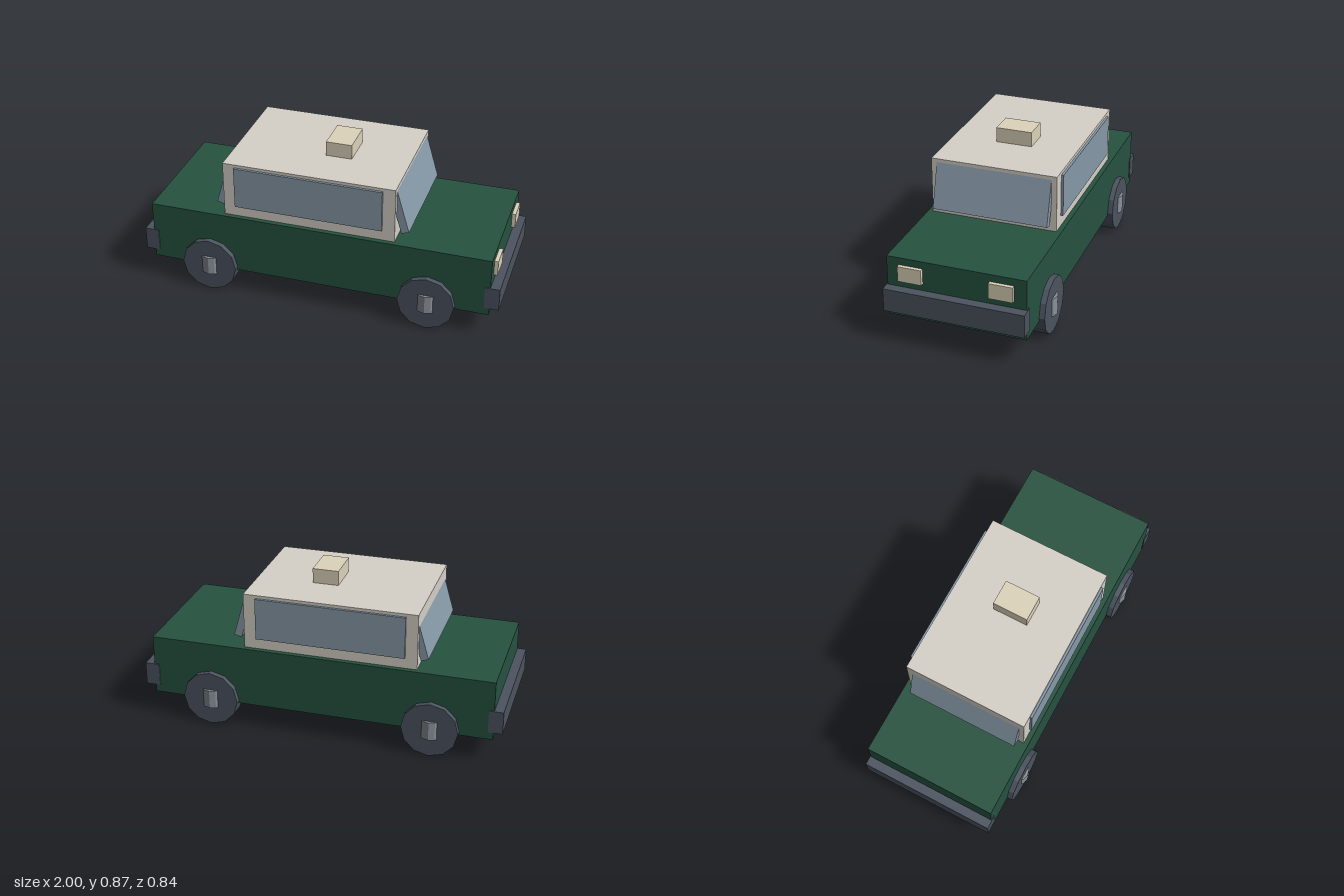
import * as THREE from 'three';

const paint = (color) => new THREE.MeshStandardMaterial({ color, flatShading: true });

export function createModel() {
  const car = new THREE.Group();
  car.name = 'taxi';

  const green = paint(0x265240);
  const cream = paint(0xd6d1c8);
  const glass = paint(0x8799a8);
  const rubber = paint(0x4c5460);
  const metal = paint(0x8a9199);
  const lamp = paint(0xddd4bb);

  function add(name, geometry, material, x, y, z) {
    const mesh = new THREE.Mesh(geometry, material);
    mesh.name = name;
    mesh.position.set(x, y, z);
    car.add(mesh);
    return mesh;
  }
  // Box given by its x and y limits, its depth in z and its centre z
  const box = (name, material, x0, x1, y0, y1, depth, z = 0) =>
    add(name, new THREE.BoxGeometry(x1 - x0, y1 - y0, depth), material, (x0 + x1) / 2, (y0 + y1) / 2, z);

  // Body, cabin and roof sign
  box('body', green, -0.95, 0.948, 0.136, 0.473, 0.747);
  box('cabin', cream, -0.53, 0.422, 0.473, 0.785, 0.694);
  box('roofSign', lamp, -0.032, 0.112, 0.785, 0.867, 0.2);

  // Bumpers
  box('frontBumper', rubber, 0.92, 1, 0.18, 0.308, 0.757);
  box('rearBumper', rubber, -1, -0.922, 0.18, 0.308, 0.757);

  // Leaning windscreens
  const screen = new THREE.BoxGeometry(0.043, 0.257, 0.634);
  add('windscreen', screen, glass, 0.435, 0.6425, 0).rotation.z = 0.28;
  add('rearWindow', screen, glass, -0.527, 0.6425, 0).rotation.z = -0.28;

  // Parts on both sides
  const wheel = new THREE.CylinderGeometry(0.155, 0.155, 0.095, 12).rotateX(Math.PI / 2);
  const hub = new THREE.CylinderGeometry(0.065, 0.065, 0.104, 12); // upright axis
  for (const [side, s] of [['right', 1], ['left', -1]]) {
    box(side + 'SideWindow', glass, -0.465, 0.354, 0.534, 0.768, 0.03, s * 0.345);
    box(side + 'Headlight', lamp, 0.93, 0.969, 0.348, 0.433, 0.128, s * 0.243);
    for (const [end, x] of [['Front', 0.612], ['Rear', -0.616]]) {
      add(side + end + 'Wheel', wheel, rubber, x, 0.155, s * 0.356);
      add(side + end + 'Hub', hub, metal, x, 0.157, s * 0.356);
    }
  }
  return car;
}
